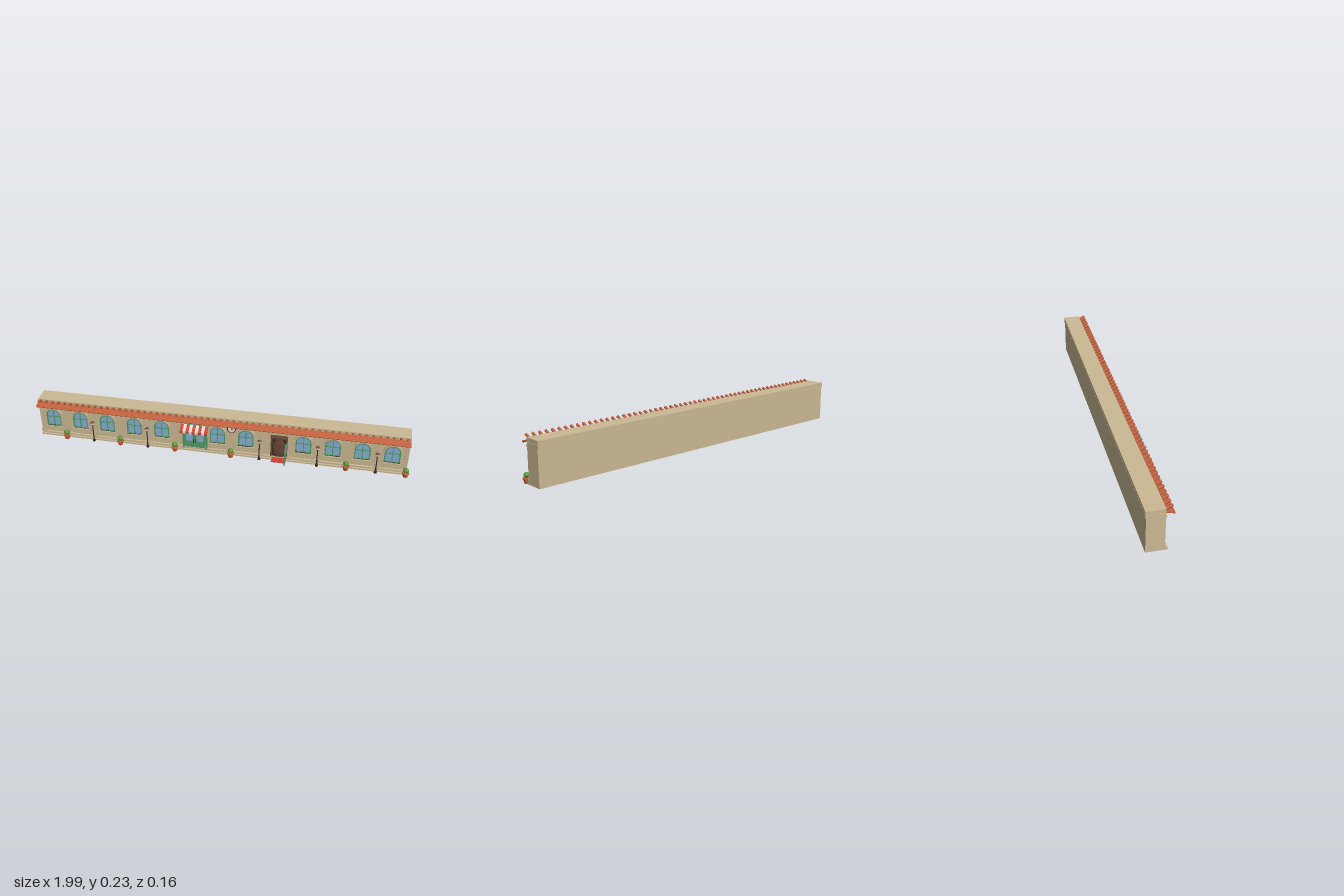
import * as THREE from 'three';

const mat = (name, color, side = THREE.FrontSide) => {
  const m = new THREE.MeshStandardMaterial({ color, side });
  m.name = name;
  return m;
};

export function createModel() {
  const stone = mat('stone', 0xcbb994);
  const clay = mat('terracotta', 0xc4623e);
  const green = mat('green paint', 0x4f9a66);
  const leaf = mat('leaf', 0x5b9a34);
  const glass = mat('glass', 0x86aed2);
  const brown = mat('brown wood', 0x664636);
  const dark = mat('dark iron', 0x3d2d25);
  const red = mat('red cloth', 0xcf4038);
  const cream = mat('cream', 0xf0e6d2);

  const model = new THREE.Group();
  const add = (parent, name, geo, material, x = 0, y = 0, z = 0) => {
    const m = new THREE.Mesh(geo, material);
    m.name = name;
    m.position.set(x, y, z);
    parent.add(m);
    return m;
  };
  const group = (name, x = 0, y = 0, z = 0) => {
    const g = new THREE.Group();
    g.name = name;
    g.position.set(x, y, z);
    model.add(g);
    return g;
  };
  // box given by its limits on each axis
  const box = (parent, name, material, x0, x1, y0, y1, z0, z1) =>
    add(parent, name, new THREE.BoxGeometry(x1 - x0, y1 - y0, z1 - z0), material,
      (x0 + x1) / 2, (y0 + y1) / 2, (z0 + z1) / 2);

  // round-headed outline, as wide as w, from bottom to top
  const arch = (C, w, bottom, top) => {
    const s = new C(), r = w / 2;
    s.moveTo(-r, bottom);
    s.lineTo(r, bottom);
    s.lineTo(r, top - r);
    s.absarc(0, top - r, r, 0, Math.PI, false);
    s.closePath();
    return s;
  };
  const archFrame = (w, bottom, top, t, depth) => {
    const s = arch(THREE.Shape, w, bottom, top);
    s.holes.push(arch(THREE.Path, w - 2 * t, bottom + t, top - t));
    return new THREE.ExtrudeGeometry(s, { depth, bevelEnabled: false, curveSegments: 10 });
  };

  const L = -0.995, R = 0.98, pitch = 0.1515, bays = 13, front = 0.004;
  const bayX = i => -0.919 + i * pitch;
  const edgeX = i => -0.9945 + i * pitch;

  // building body
  const body = group('building');
  box(body, 'wall', stone, L, R, 0, 0.187, -0.077, front);
  box(body, 'cornice', stone, L, R, 0.187, 0.199, -0.081, 0.01);
  box(body, 'parapetJoint', stone, L + 0.002, R - 0.002, 0.199, 0.201, -0.079, 0.008);
  box(body, 'parapet', stone, L, R, 0.201, 0.22, -0.081, 0.01);
  box(body, 'plinth', stone, L, R, 0, 0.008, front, 0.024);
  box(body, 'plinthMoulding', stone, L, R, 0.008, 0.018, front, 0.015);
  for (let i = 0; i <= bays; i++) {
    const x = Math.min(Math.max(edgeX(i), L + 0.009), R - 0.009);
    box(body, 'pilaster', stone, x - 0.009, x + 0.009, 0.018, 0.187, front, 0.01);
    box(body, 'pilasterBase', stone, x - 0.012, x + 0.012, 0.018, 0.027, front, 0.013);
    box(body, 'pilasterCap', stone, x - 0.012, x + 0.012, 0.178, 0.187, front, 0.013);
  }

  // roof edge: tilted tiles, lower slab and rounded lip
  const roof = group('roofEdge');
  const tileGeo = new THREE.CylinderGeometry(0.0068, 0.0068, 0.062, 10);
  const tiles = 58, tilePitch = (R - L) / tiles;
  for (let i = 0; i < tiles; i++) {
    const t = add(roof, 'roofTile', tileGeo, clay, L + (i + 0.5) * tilePitch, 0.2115, 0.0145);
    t.rotation.x = Math.PI / 2 - 0.42;
  }
  const slab = add(roof, 'eaveSlab', new THREE.BoxGeometry(R - L, 0.005, 0.04), clay, (L + R) / 2, 0.199, 0.026);
  slab.rotation.x = 0.25;
  add(roof, 'eaveLip', new THREE.CylinderGeometry(0.005, 0.005, R - L, 10), clay, (L + R) / 2, 0.194, 0.045)
    .rotation.z = Math.PI / 2;

  // arched windows, in every bay without a door
  const surroundGeo = archFrame(0.098, 0.052, 0.168, 0.008, 0.008);
  const frameGeo = archFrame(0.082, 0.058, 0.16, 0.006, 0.006);
  const paneGeo = new THREE.ShapeGeometry(arch(THREE.Shape, 0.074, 0.06, 0.157), 10);
  for (let i = 0; i < bays; i++) {
    if (i === 5 || i === 8) continue;
    const w = group('window', bayX(i), 0, front);
    add(w, 'windowSurround', surroundGeo, stone);
    add(w, 'windowFrame', frameGeo, green);
    add(w, 'windowPane', paneGeo, glass, 0, 0, 0.001);
    box(w, 'windowMullion', green, -0.002, 0.002, 0.06, 0.158, 0.001, 0.005);
    box(w, 'windowTransom', green, -0.038, 0.038, 0.112, 0.116, 0.001, 0.005);
    box(w, 'windowSill', stone, -0.048, 0.048, 0.049, 0.058, 0, 0.013);
    box(w, 'sillShadowStrip', dark, -0.042, 0.042, 0.058, 0.061, 0, 0.008);
  }

  // green double door with fanlight and striped awning
  const shop = group('shopEntrance', -0.132, 0, front);
  box(shop, 'doorBacking', green, -0.062, 0.062, 0.01, 0.125, 0, 0.004);
  add(shop, 'fanlightFrame', archFrame(0.09, 0.1, 0.176, 0.007, 0.01), green);
  add(shop, 'fanlightPane', new THREE.ShapeGeometry(arch(THREE.Shape, 0.08, 0.125, 0.172), 10), glass, 0, 0, 0.0045);
  for (const s of [-1, 1]) {
    const x = s * 0.029;
    box(shop, 'doorLeaf', green, x - 0.026, x + 0.026, 0.014, 0.12, 0.004, 0.009);
    box(shop, 'doorPane', glass, x - 0.018, x + 0.018, 0.058, 0.112, 0.009, 0.0105);
    box(shop, 'doorPanel', green, x - 0.017, x + 0.017, 0.022, 0.05, 0.009, 0.011);
    box(shop, 'doorHandle', dark, s * 0.006 - 0.0015, s * 0.006 + 0.0015, 0.05, 0.075, 0.009, 0.015);
    const arm = add(shop, 'awningArm', new THREE.CylinderGeometry(0.0015, 0.0015, 0.042, 6), green, s * 0.07, 0.132, 0.026);
    arm.rotation.x = Math.PI / 2 - 0.35;
    box(shop, 'doorJamb', green, s * 0.062 - 0.004, s * 0.062 + 0.004, 0.01, 0.125, 0, 0.012);
  }
  const stripes = 9, sw = 0.148 / stripes;
  for (let i = 0; i < stripes; i++) {
    const m = i % 2 ? cream : red, x = -0.074 + (i + 0.5) * sw;
    const cloth = add(shop, 'awningStripe', new THREE.BoxGeometry(sw, 0.0025, 0.044), m, x, 0.147, 0.024);
    cloth.rotation.x = 0.46;
    box(shop, 'awningValance', m, x - sw / 2, x + sw / 2, 0.124, 0.138, 0.0425, 0.045);
  }

  // dark doorway with an open green leaf, canopy and mat
  const entry = group('openEntrance', 0.318, 0, front);
  box(entry, 'doorway', dark, -0.04, 0.04, 0.008, 0.14, 0, 0.003);
  for (const s of [-1, 1])
    box(entry, 'doorwayJamb', brown, s * 0.04 - 0.004, s * 0.04 + 0.004, 0.008, 0.142, 0, 0.01);
  const rounded = add(entry, 'roundedDoorPanel', new THREE.LatheGeometry(
    [[0, 0.012], [0.026, 0.014], [0.032, 0.05], [0.034, 0.09], [0.026, 0.108], [0.018, 0.113], [0.022, 0.124], [0.014, 0.135], [0, 0.137]]
      .map(p => new THREE.Vector2(...p)), 18), brown, 0, 0, 0.003);
  rounded.scale.z = 0.25;
  box(entry, 'canopy', brown, -0.045, 0.045, 0.14, 0.147, 0, 0.026);
  box(entry, 'doorMat', red, -0.035, 0.035, 0.008, 0.013, 0.01, 0.05);
  const ox = 0.038;
  box(entry, 'openDoorLeaf', green, ox - 0.003, ox + 0.003, 0.013, 0.107, 0.008, 0.078);
  box(entry, 'openDoorPane', glass, ox - 0.004, ox + 0.004, 0.063, 0.098, 0.019, 0.069);

  // potted bushes and street lamps alternate along the bay edges
  const potGeo = new THREE.CylinderGeometry(0.0155, 0.012, 0.02, 16);
  const rimGeo = new THREE.CylinderGeometry(0.018, 0.018, 0.005, 16);
  const bushGeo = new THREE.IcosahedronGeometry(0.0135, 2);
  const tuftGeo = new THREE.IcosahedronGeometry(0.007, 1);
  for (const i of [1, 3, 5, 7, 11, 13]) {
    const p = group('pottedBush', edgeX(i), 0, 0.036);
    add(p, 'pot', potGeo, clay, 0, 0.01, 0);
    add(p, 'potRim', rimGeo, clay, 0, 0.0215, 0);
    add(p, 'bush', bushGeo, leaf, 0, 0.039, 0);
    for (let k = 0; k < 6; k++) {
      const a = k * Math.PI / 3;
      add(p, 'bushTuft', tuftGeo, leaf, Math.cos(a) * 0.009, 0.034 + (k % 2) * 0.006, Math.sin(a) * 0.009);
    }
  }
  const poleGeo = new THREE.LatheGeometry(
    [[0, 0], [0.008, 0], [0.008, 0.006], [0.0045, 0.012], [0.003, 0.03], [0.0025, 0.098], [0.006, 0.102], [0, 0.105]]
      .map(p => new THREE.Vector2(...p)), 12);
  for (const i of [2, 4, 8, 10, 12]) {
    const l = group('streetLamp', edgeX(i), 0, 0.032);
    add(l, 'lampPost', poleGeo, dark);
    add(l, 'lampGlobe', new THREE.SphereGeometry(0.0085, 14, 10), cream, 0, 0.111, 0);
    add(l, 'lampCap', new THREE.ConeGeometry(0.0115, 0.011, 12), brown, 0, 0.1235, 0);
  }

  // wall clock
  const clock = group('clock', edgeX(7), 0.163, 0.01);
  const disc = (name, r, d, m) =>
    add(clock, name, new THREE.CylinderGeometry(r, r, d, 24), m, 0, 0, d / 2).rotation.x = Math.PI / 2;
  disc('clockCase', 0.023, 0.008, dark);
  disc('clockFace', 0.0185, 0.0095, cream);
  box(clock, 'minuteHand', dark, -0.001, 0.001, 0, 0.015, 0.0095, 0.0105);
  box(clock, 'hourHand', dark, 0, 0.01, -0.001, 0.001, 0.0095, 0.0105);

  return model;
}
